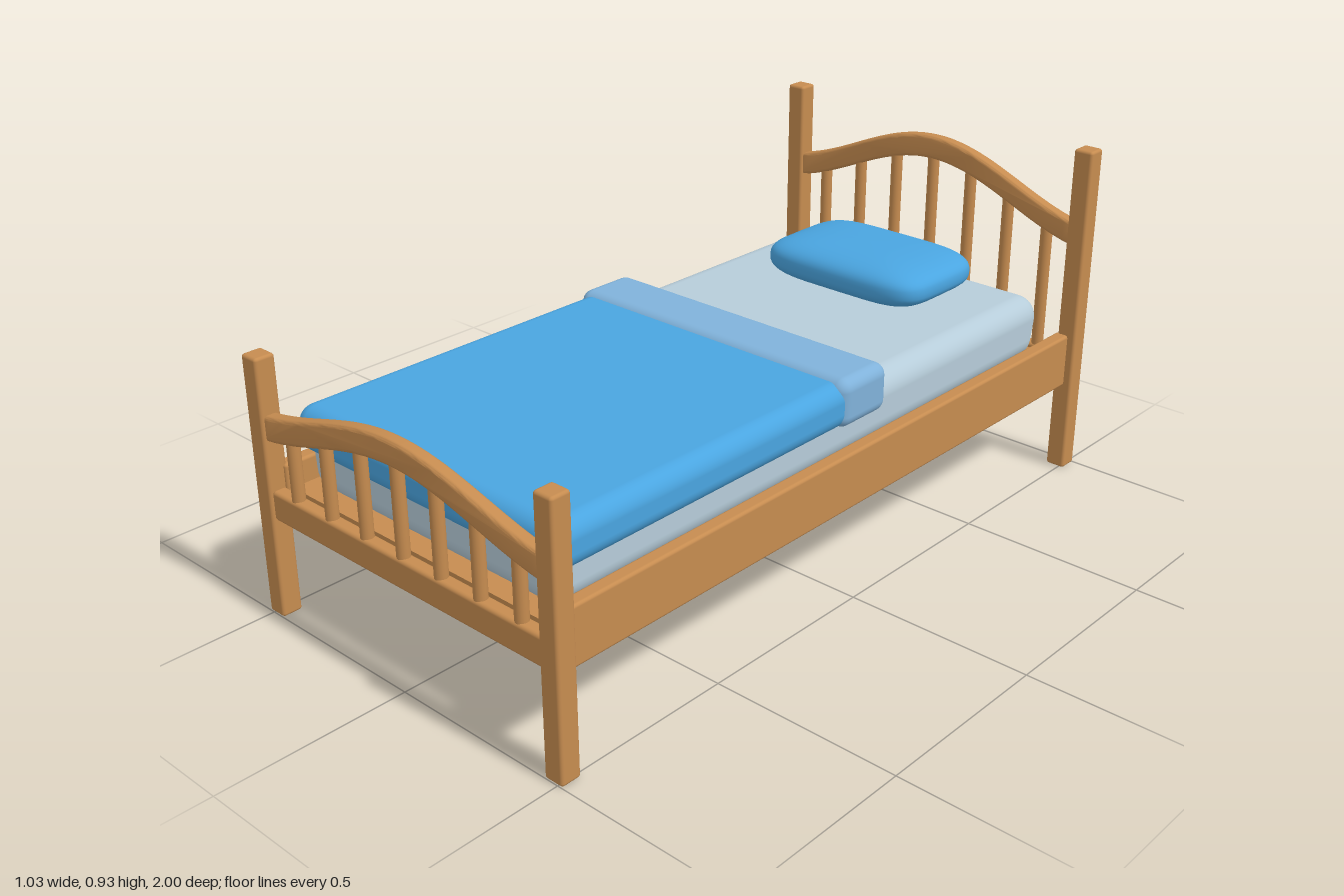
import * as THREE from 'three';
import { toCreasedNormals } from 'three/addons/utils/BufferGeometryUtils.js';
import { RoundedBoxGeometry } from 'three/addons/geometries/RoundedBoxGeometry.js';

function material(name, color) {
  const m = new THREE.MeshStandardMaterial({ color });
  m.name = name;
  return m;
}

// Height of an arched rail's centre line at x
function archHeight(x, low, high) {
  const k = 0.84 * Math.PI;
  const end = Math.cos(k);
  const t = (Math.cos((k * x) / 0.465) - end) / (1 - end);
  return low + (high - low) * t;
}

export function createModel() {
  const bed = new THREE.Group();
  bed.name = 'bed';
  const wood = material('wood', 0xc68c50);
  const blue = material('blue fabric', 0x4aa5e0);
  const sheet = material('pale sheet', 0xb6ccd9);
  const paleBlue = material('pale blue lining', 0x80b2da);

  function add(parent, name, geometry, mat, x = 0, y = 0, z = 0) {
    const mesh = new THREE.Mesh(geometry, mat);
    mesh.name = name;
    mesh.position.set(x, y, z);
    parent.add(mesh);
    return mesh;
  }

  // Rounded box given by its limits
  function block(parent, name, mat, [x0, x1], [y0, y1], [z0, z1], r, segments = 2) {
    const g = new RoundedBoxGeometry(x1 - x0, y1 - y0, z1 - z0, segments, r);
    return add(parent, name, g, mat, (x0 + x1) / 2, (y0 + y1) / 2, (z0 + z1) / 2);
  }

  // Curved top rail: arched outline extruded with a soft bevel
  function archedRail(low, high) {
    const bevel = 0.009, half = 0.0325 - bevel, n = 40, upper = [], lower = [];
    for (let i = 0; i <= n; i++) {
      const x = -0.465 + (0.93 * i) / n;
      const y = archHeight(x, low, high);
      upper.push(new THREE.Vector2(x, y + half));
      lower.push(new THREE.Vector2(x, y - half));
    }
    const g = new THREE.ExtrudeGeometry(new THREE.Shape([...lower, ...upper.reverse()]), {
      depth: 0.02, bevelEnabled: true, bevelSize: bevel, bevelThickness: bevel, bevelSegments: 3,
    });
    g.translate(0, 0, -0.01);
    return toCreasedNormals(g, 0.7);
  }

  // Headboard and footboard: posts, bottom rail, arch and spindles
  function endBoard(name, z, postTop, low, high) {
    const board = new THREE.Group();
    board.name = name;
    board.position.z = z;
    bed.add(board);
    for (const s of [-1, 1]) {
      add(board, s > 0 ? 'leftPost' : 'rightPost',
        new RoundedBoxGeometry(0.055, postTop, 0.055, 2, 0.008), wood, s * 0.4875, postTop / 2, 0);
    }
    block(board, 'bottomRail', wood, [-0.465, 0.465], [0.265, 0.342], [-0.019, 0.019], 0.009);
    add(board, 'archedRail', archedRail(low, high), wood);
    for (let i = -3; i <= 3; i++) {
      const x = i * 0.1275;
      const top = archHeight(x, low, high);
      add(board, 'spindle', new THREE.CylinderGeometry(0.0165, 0.0165, top - 0.32, 16),
        wood, x, (top + 0.32) / 2, 0);
    }
  }
  endBoard('footboard', 0.9725, 0.682, 0.503, 0.598);
  endBoard('headboard', -0.9725, 0.926, 0.688, 0.833);

  // Side rails and base panel
  for (const s of [-1, 1]) {
    const rail = new RoundedBoxGeometry(0.04, 0.15, 1.91, 2, 0.008);
    add(bed, s > 0 ? 'leftSideRail' : 'rightSideRail', rail, wood, s * 0.472, 0.325, 0);
  }
  add(bed, 'basePanel', new THREE.BoxGeometry(0.92, 0.06, 1.88), wood, 0, 0.305, 0);

  // Mattress, slightly narrower towards the bottom
  const mattress = block(bed, 'mattress', sheet, [-0.428, 0.428], [0.333, 0.514], [-0.912, 0.915], 0.06, 5);
  const p = mattress.geometry.attributes.position;
  for (let i = 0; i < p.count; i++) {
    if (p.getY(i) < 0) p.setX(i, p.getX(i) * 0.985);
  }

  // Blanket and its turned-down edge
  block(bed, 'blanket', blue, [-0.444, 0.444], [0.432, 0.552], [-0.1, 0.93], 0.045, 5);
  block(bed, 'blanketFold', paleBlue, [-0.45, 0.45], [0.434, 0.562], [-0.178, 0.002], 0.032, 4);

  // Pillow: sphere swollen into a soft cushion
  const pillow = new THREE.SphereGeometry(1, 48, 28);
  const q = pillow.attributes.position;
  const pow = (v, e) => Math.sign(v) * Math.abs(v) ** e;
  for (let i = 0; i < q.count; i++) {
    const x = q.getX(i), y = q.getY(i), z = q.getZ(i);
    const r = Math.hypot(x, z);
    const c = r > 1e-6 ? x / r : 0, s = r > 1e-6 ? z / r : 0;
    const spread = r > 1e-6 ? r ** 0.6 : 0;
    q.setXYZ(i, 0.262 * spread * pow(c, 0.42), 0.06 * pow(y, 0.75), 0.174 * spread * pow(s, 0.42));
  }
  pillow.computeVertexNormals();
  add(bed, 'pillow', pillow, blue, 0, 0.566, -0.683);

  return bed;
}
